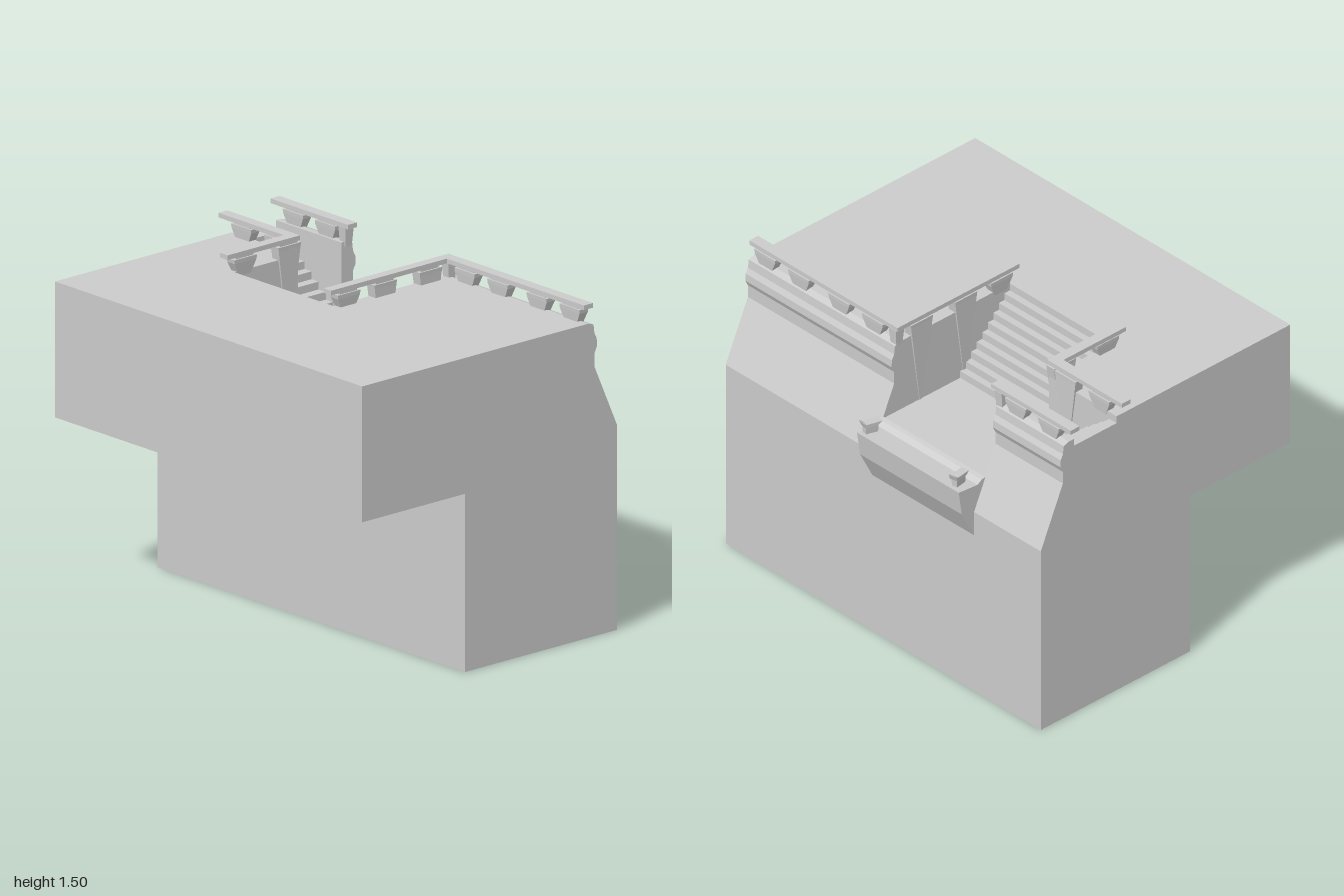
import * as THREE from 'three';

const material = new THREE.MeshStandardMaterial({ color: 0xcccccc, flatShading: true });
const TOP = 1.41, FLOOR = 1.06;

function add(parent, name, geometry) {
  const mesh = new THREE.Mesh(geometry, material);
  mesh.name = name;
  parent.add(mesh);
  return mesh;
}

// Extrude an x/y outline between two z positions.
function slice(parent, name, points, z0, z1) {
  const shape = new THREE.Shape(points.map(p => new THREE.Vector2(...p)));
  const geometry = new THREE.ExtrudeGeometry(shape, { depth: z1 - z0, bevelEnabled: false });
  geometry.translate(0, 0, z0);
  return add(parent, name, geometry);
}

function box(parent, name, x0, x1, y0, y1, z0, z1) {
  const geometry = new THREE.BoxGeometry(x1 - x0, y1 - y0, z1 - z0);
  geometry.translate((x0 + x1) / 2, (y0 + y1) / 2, (z0 + z1) / 2);
  return add(parent, name, geometry);
}

// Four-sided solid tapering from a w x d top down to a w2 x d2 foot.
function taper(parent, name, w, d, w2, d2, y0, y1) {
  const geometry = new THREE.BoxGeometry(w, y1 - y0, d);
  const p = geometry.attributes.position;
  for (let i = 0; i < p.count; i++) {
    if (p.getY(i) < 0) p.setXYZ(i, p.getX(i) * w2 / w, p.getY(i), p.getZ(i) * d2 / d);
  }
  geometry.translate(0, (y0 + y1) / 2, 0);
  return add(parent, name, geometry);
}

// Baluster: neck, wide shoulder and tapered body; a lower foot makes a long wall pilaster.
function baluster(parent, x, z, alongZ, foot = 1.39) {
  const group = new THREE.Group();
  group.name = 'baluster';
  taper(group, 'balusterNeck', 0.10, 0.035, 0.10, 0.035, 1.465, 1.48);
  taper(group, 'balusterShoulder', 0.13, 0.05, 0.125, 0.048, 1.45, 1.468);
  const narrow = foot < 1.3 ? 0.015 : 0.07;
  taper(group, 'balusterBody', 0.125, 0.048, narrow, 0.035, foot, 1.45);
  group.position.set(x, 0, z);
  if (alongZ) group.rotation.y = Math.PI / 2;
  parent.add(group);
}

export function createModel() {
  const model = new THREE.Group();
  model.name = 'terraceWithStairs';

  // Cliff body, cut in three slices along z
  const base = [[-0.78, TOP], [-0.78, 0.8], [-0.19, 0.8], [-0.19, 0], [0.685, 0], [0.685, 0.92]];
  const moulding = [[0.555, 1.21], [0.555, 1.27], [0.57, 1.3], [0.568, 1.335],
    [0.555, 1.36], [0.55, 1.4], [0.52, TOP]];
  slice(model, 'frontBlock', [...base, ...moulding], 0.09, 1);
  slice(model, 'backBlock', [...base, ...moulding,
    [0.49, TOP], [0.49, FLOOR], [0.24, FLOOR], [0.24, TOP]], -0.96, -0.54);

  // Middle slice: landing and main staircase
  const steps = 10, run = 0.0325, rise = (TOP - FLOOR) / steps;
  const stair = [];
  for (let i = 0; i < steps; i++) {
    const x = -0.125 + run * (steps - 1 - i);
    stair.push([x, FLOOR + rise * i], [x, FLOOR + rise * (i + 1)]);
  }
  slice(model, 'landingAndMainStairs', [...base, [0.622, FLOOR], ...stair], -0.54, 0.09);

  // Side staircase climbing towards the back
  for (let i = 0; i < 9; i++) {
    const y = FLOOR + rise * i;
    box(model, 'sideStep', 0.24, 0.49, y, y + rise, -0.96, -0.55 - 0.0455 * i);
  }

  // Balcony ledge with a shallow gutter
  slice(model, 'balcony', [[0.62, 1.07], [0.64, 1.066], [0.665, 1.05], [0.775, 1.06],
    [0.757, 0.94], [0.685, 0.8], [0.66, 0.8]].reverse(), -0.545, 0.088);

  // Small brackets standing on the balcony ends
  for (const [z, turn] of [[0.06, -0.2], [-0.488, 0.2]]) {
    const post = new THREE.Group();
    post.name = 'balconyPost';
    taper(post, 'postBody', 0.065, 0.03, 0.06, 0.026, 1.05, 1.1);
    const cap = slice(post, 'postCap', [[-0.05, 1.105], [-0.03, 1.092], [0.035, 1.092],
      [0.045, 1.118], [0.03, 1.11]], -0.02, 0.02);
    cap.position.x = 0;
    post.position.set(0.722, 0, z);
    post.rotation.y = turn;
    model.add(post);
  }

  // Handrails: [x0, x1, z0, z1]
  for (const [x0, x1, z0, z1] of [
    [0.495, 0.547, 0.125, 1], [-0.17, 0.547, 0.078, 0.125],
    [0.495, 0.547, -1, -0.505], [0.197, 0.247, -1, -0.585], [-0.17, 0.247, -0.585, -0.535],
  ]) box(model, 'handrail', x0, x1, 1.476, 1.497, z0, z1);

  // Balusters under the rails
  for (const z of [0.905, 0.695, 0.445, 0.235, -0.655, -0.86]) baluster(model, 0.522, z, true);
  baluster(model, -0.07, 0.105, false);
  baluster(model, 0.14, 0.105, false, FLOOR);
  baluster(model, 0.4, 0.105, false, FLOOR);
  baluster(model, -0.07, -0.555, false);
  baluster(model, 0.183, -0.555, false, FLOOR);
  baluster(model, 0.225, -0.65, true, FLOOR);
  baluster(model, 0.225, -0.86, true);

  // Slim end posts at the rail corners
  for (const z of [0.108, -0.55]) {
    const post = taper(model, 'endPost', 0.05, 0.045, 0.035, 0.035, 1.39, 1.478);
    post.position.set(0.524, 0, z);
  }
  return model;
}
